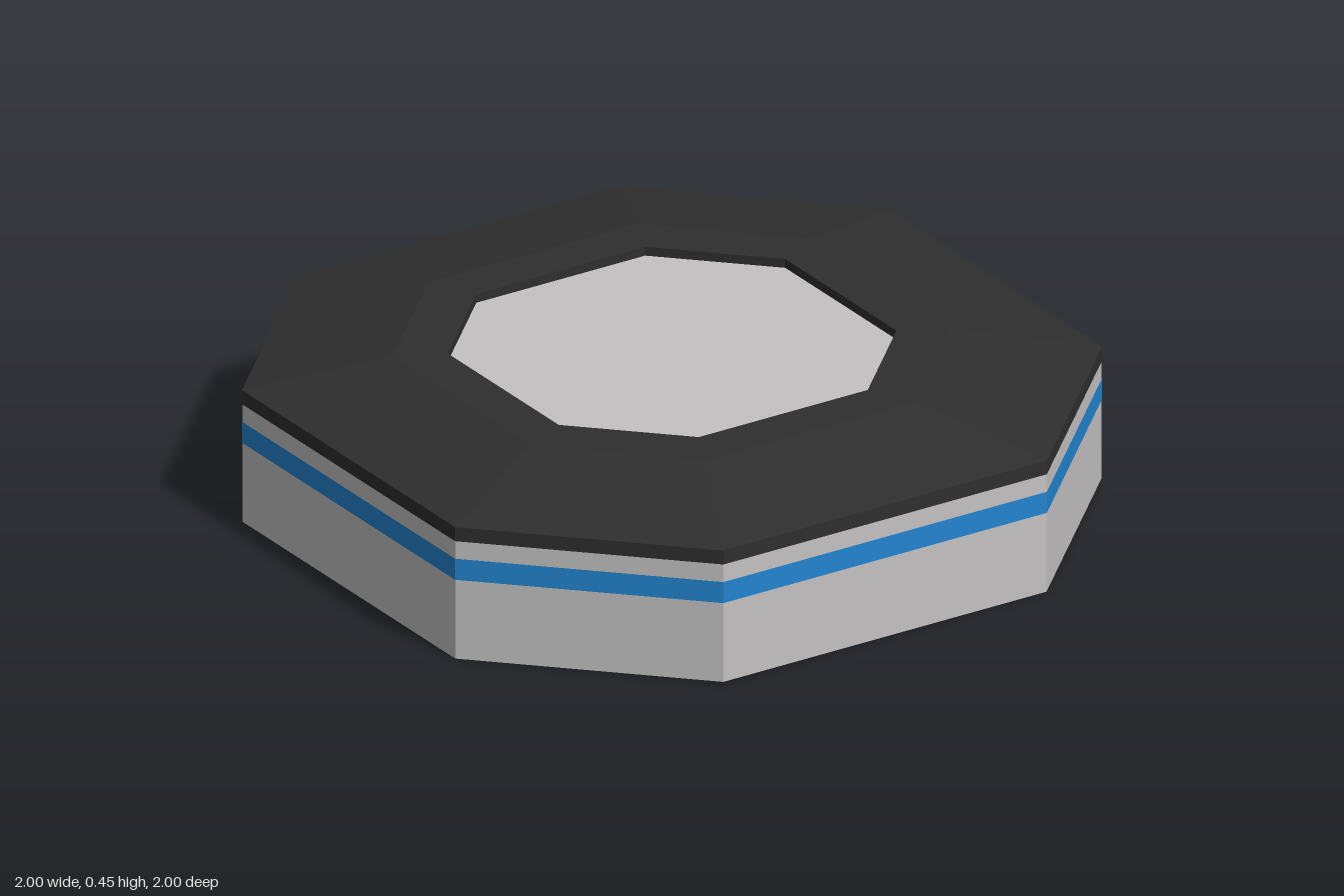
import * as THREE from 'three';

// Octagon plan, counter-clockwise seen from above; plan y points to the back (-z)
const OCTAGON = [[-0.5, 1], [-1, 0.5], [-1, -0.5], [-0.5, -1], [0.5, -1], [1, -0.5], [1, 0.5], [0.5, 1]];
const HALF = 0.44;      // half width of the rear recess
const INNER = 0.936;    // plan position of the recess's inner wall
const NOTCHED = [...OCTAGON, [HALF, 1], [HALF, INNER], [-HALF, INNER], [-HALF, 1]];

// Solid slab between two heights
function slab(plan, y0, y1, scale = 1) {
  const shape = new THREE.Shape(plan.map(([x, y]) => new THREE.Vector2(x * scale, y * scale)));
  const g = new THREE.ExtrudeGeometry(shape, { depth: y1 - y0, bevelEnabled: false });
  return g.rotateX(-Math.PI / 2).translate(0, y0, 0);
}

// Flat-faced skin through scaled copies of a plan; profile is a list of [scale, height]
function loft(plan, profile, closed) {
  const pos = [];
  const n = plan.length;
  const at = (j, [s, y]) => [plan[j % n][0] * s, y, -plan[j % n][1] * s];
  for (let i = 0; i < profile.length - 1; i++) {
    for (let j = 0; j < (closed ? n : n - 1); j++) {
      const a = at(j, profile[i]), b = at(j + 1, profile[i]);
      const c = at(j + 1, profile[i + 1]), d = at(j, profile[i + 1]);
      pos.push(...a, ...b, ...c, ...a, ...c, ...d);
    }
  }
  const g = new THREE.BufferGeometry();
  g.setAttribute('position', new THREE.Float32BufferAttribute(pos, 3));
  g.computeVertexNormals();
  return g;
}

export function createModel() {
  const group = new THREE.Group();
  const material = (name, color) => {
    const m = new THREE.MeshStandardMaterial({ color });
    m.name = name;
    return m;
  };
  const grey = material('lightGrey', 0xc4c2c3);
  const blue = material('blue', 0x2284d0);
  const dark = material('charcoal', 0x2e2e2e);
  const add = (name, geometry, mat) => {
    const mesh = new THREE.Mesh(geometry, mat);
    mesh.name = name;
    group.add(mesh);
    return mesh;
  };

  // Walls, with the recess cut into the back
  add('base', slab(OCTAGON, 0, 0.085, 0.999), grey);
  add('walls', slab(NOTCHED, 0.085, 0.33, 0.999), grey);
  add('lintel', slab(OCTAGON, 0.33, 0.335, 0.999), grey);

  // Painted band, interrupted by the recess
  const bandPath = [[-HALF, 1], ...OCTAGON, [HALF, 1]];
  add('stripe', loft(bandPath, [[1, 0.225], [1, 0.285]], false), blue);

  // Panel at the back of the recess
  const panel = add('recessPanel', new THREE.BoxGeometry(HALF * 2 - 0.002, 0.245, 0.006), blue);
  panel.position.set(0, 0.2075, -INNER);

  // Roof ring: vertical edge, slope, flat rim and inner lip
  const roof = [[1, 0.335], [1, 0.375], [0.65, 0.45], [0.522, 0.45], [0.522, 0.425]];
  add('roof', loft(OCTAGON, roof, true), dark);
  add('roofDeck', slab(OCTAGON, 0.335, 0.425, 0.522), grey);

  return group;
}
